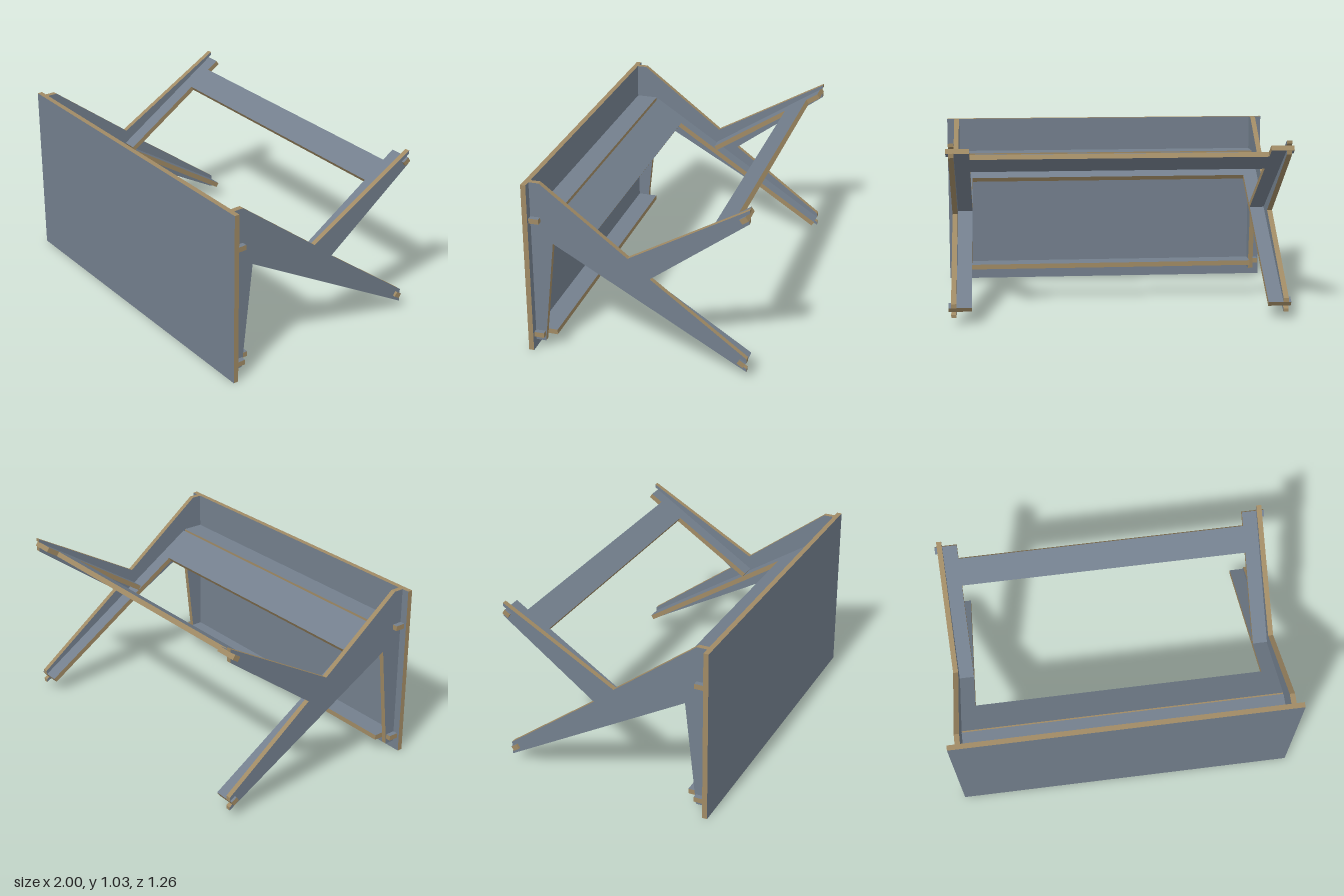
import * as THREE from 'three';

const T = 0.03; // board thickness
const TILT = 0.58; // slope of the two frames
const face = new THREE.MeshStandardMaterial({ color: 0x737f8d });
const edge = new THREE.MeshStandardMaterial({ color: 0xa08a64 });

// Flat board cut from an outline, centred on its thickness, with contrasting edges
function board(name, points) {
  const shape = new THREE.Shape(points.map(([a, b]) => new THREE.Vector2(a, b)));
  const geometry = new THREE.ExtrudeGeometry(shape, { depth: T, bevelEnabled: false });
  geometry.translate(0, 0, -T / 2);
  const mesh = new THREE.Mesh(geometry, [face, edge]);
  mesh.name = name;
  return mesh;
}

// Completes a half outline by mirroring it across x = 0
const mirrored = (half) => [...half, ...half.map(([x, y]) => [-x, y]).reverse()];

export function createModel() {
  const model = new THREE.Group();
  model.name = 'desk';

  // Large front panel
  const front = board('frontPanel', mirrored([[1, 0], [1, 1.03]]));
  front.position.z = 0.615;
  model.add(front);

  // K-shaped sides (outline in z, y) with an open slot at each arm tip
  const tip = [[-0.63, 1.03], [-0.63, 1.0107], [-0.578, 0.9766],
    [-0.5945, 0.9515], [-0.63, 0.9747], [-0.63, 0.95]];
  const lowerTip = tip.map(([z, y]) => [z, 1.078 - y]).reverse();
  const outline = [
    [0.6, 1.03], [0.542, 1.03], [0.045, 0.647], ...tip, [-0.08, 0.54],
    ...lowerTip, [0.475, 0.675], [0.542, 0.048], [0.6, 0.048],
  ];
  for (const s of [1, -1]) {
    const side = board(s > 0 ? 'leftSide' : 'rightSide', outline);
    side.rotation.y = -Math.PI / 2;
    side.position.x = s * 0.94;
    model.add(side);
  }

  // Sloping frames: outline in x and distance from the rear tip, tabs at the rear.
  // The upper frame's legs butt against the lower frame, which rises to the upper rail.
  const tab = [[0.84, 0], [0.97, 0], [0.97, 0.04], [0.925, 0.04]];
  const upper = board('upperFrame', mirrored(
    [[0.84, 0.081], ...tab, [0.925, 0.795], [0.84, 0.795], [0.84, 0.241]]));
  upper.rotation.x = Math.PI - TILT;
  upper.rotation.x = Math.PI / 2 + TILT;
  upper.position.set(0, 0.986, -0.6197);

  const lower = board('lowerFrame', mirrored([[0.84, 1.085], ...tab, [0.925, 1.304]]));
  lower.rotation.x = Math.PI / 2 - TILT;
  lower.position.set(0, 0.092, -0.6197);
  model.add(upper, lower);

  // Horizontal rails behind the front panel (outline in x, z), tabbed through the sides
  for (const [name, y, back] of [['upperRail', 0.811, 0.473], ['lowerRail', 0.096, 0.482]]) {
    const rail = board(name, mirrored(
      [[0.925, back], [0.925, 0.542], [0.985, 0.542], [0.985, 0.6]]));
    rail.rotation.x = Math.PI / 2;
    rail.position.y = y;
    model.add(rail);
  }

  return model;
}
